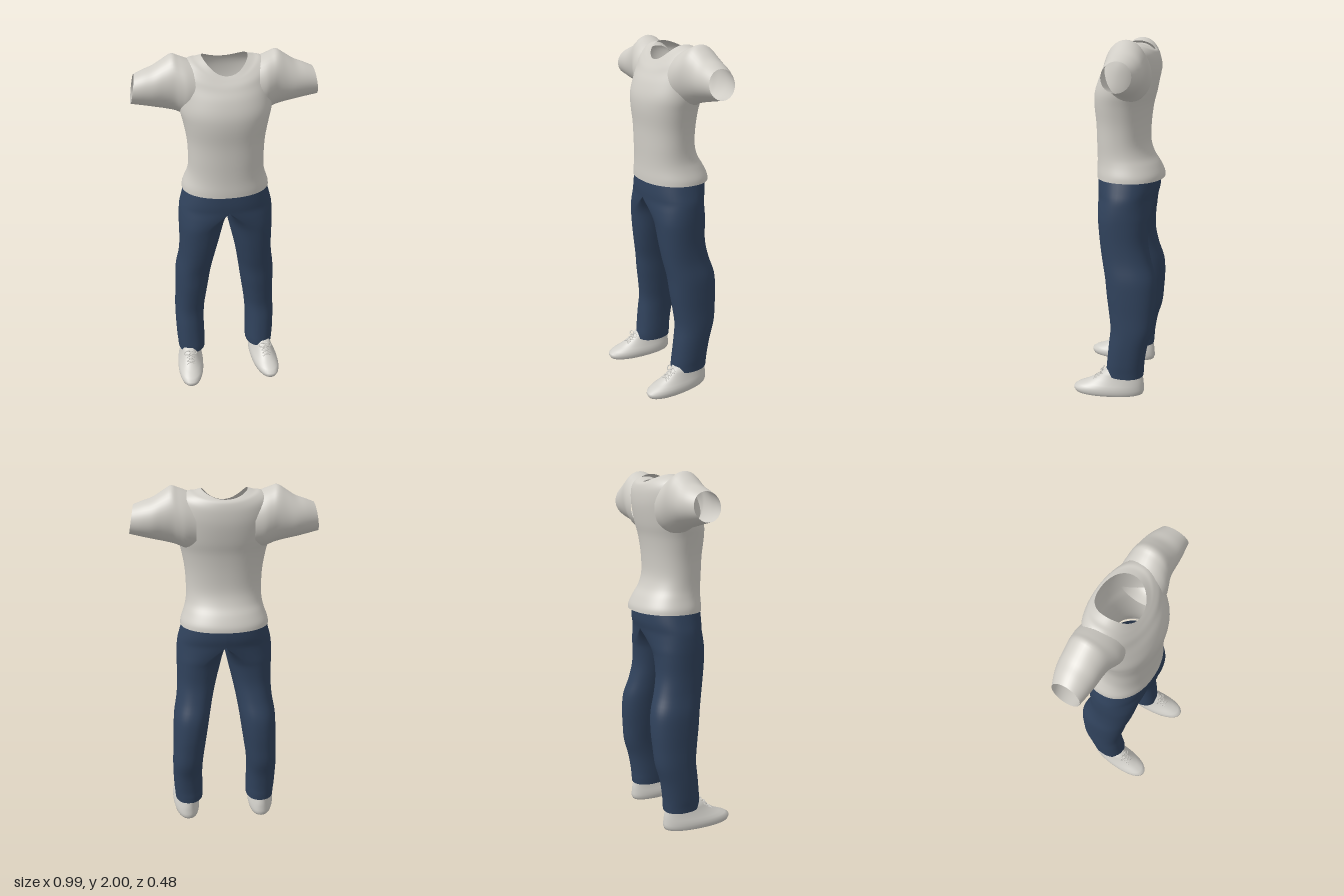
import * as THREE from 'three';

const mat = (name, color, side = THREE.DoubleSide) => {
  const m = new THREE.MeshStandardMaterial({ color, side });
  m.name = name;
  return m;
};

// Catmull-Rom interpolation of every column of a table of section measures
function refine(rows, n) {
  const out = [];
  for (let i = 0; i < rows.length - 1; i++) {
    const a = rows[Math.max(i - 1, 0)], b = rows[i], c = rows[i + 1], d = rows[Math.min(i + 2, rows.length - 1)];
    for (let k = 0; k < n; k++) {
      const t = k / n;
      out.push(b.map((_, j) => b[j] + 0.5 * t * (c[j] - a[j]
        + t * (2 * a[j] - 5 * b[j] + 4 * c[j] - d[j] + t * (3 * (b[j] - c[j]) + d[j] - a[j])))));
    }
  }
  out.push(rows[rows.length - 1]);
  return out;
}

// Skin closed sections; side = -1 mirrors across x = 0
function loft(rows, seg, point, side = 1) {
  const pos = [], index = [];
  for (const row of rows) {
    for (let j = 0; j < seg; j++) {
      const a = (j / seg) * Math.PI * 2;
      const [x, y, z] = point(row, Math.sin(a), Math.cos(a));
      pos.push(x * side, y, z);
    }
  }
  // faces lying wholly in the centre plane are left out
  const tri = (a, b, c) => {
    if ([a, b, c].every((v) => Math.abs(pos[v * 3]) < 1e-4)) return;
    index.push(...(side > 0 ? [a, b, c] : [a, c, b]));
  };
  for (let i = 0; i < rows.length - 1; i++) {
    for (let j = 0; j < seg; j++) {
      const k = (j + 1) % seg, a = i * seg + j, b = i * seg + k, c = b + seg, d = a + seg;
      tri(a, b, c);
      tri(a, c, d);
    }
  }
  const g = new THREE.BufferGeometry();
  g.setAttribute('position', new THREE.Float32BufferAttribute(pos, 3));
  g.setIndex(index);
  g.computeVertexNormals();
  return g;
}

// Rounded-square version of a sine or cosine
const soft = (v, p) => Math.sign(v) * Math.pow(Math.abs(v), p);

export function createModel() {
  const model = new THREE.Group();
  const shirt = mat('off-white cotton', 0xd0cdc6);
  const denim = mat('navy cloth', 0x30425c);
  const leather = mat('pale shoe', 0xd0cec8);
  const add = (parent, name, geometry, material) => {
    const m = new THREE.Mesh(geometry, material);
    m.name = name;
    parent.add(m);
    return m;
  };

  // Shirt body: half width, front z, back z, then height at front, side and back
  const level = (y, w, f, b) => [w, f, b, y, y, y];
  const body = [
    level(1.25, 0.245, 0.14, -0.24),
    level(1.28, 0.24, 0.14, -0.235),
    level(1.33, 0.222, 0.138, -0.21),
    level(1.38, 0.21, 0.138, -0.178),
    level(1.45, 0.207, 0.14, -0.157),
    level(1.55, 0.212, 0.143, -0.158),
    level(1.65, 0.229, 0.152, -0.17),
    level(1.72, 0.245, 0.148, -0.187),
    [0.25, 0.125, -0.2, 1.79, 1.8, 1.79],
    [0.25, 0.1, -0.205, 1.835, 1.88, 1.84],
    [0.235, 0.085, -0.203, 1.86, 1.945, 1.89],
    [0.19, 0.07, -0.195, 1.88, 1.972, 1.925],
    [0.155, 0.06, -0.185, 1.893, 1.976, 1.94],
    [0.12, 0.05, -0.175, 1.905, 1.985, 1.945],
  ];
  const top = new THREE.Group();
  top.name = 'shirt';
  model.add(top);
  add(top, 'shirtBody', loft(refine(body, 4), 64, ([w, f, b, yf, ys, yb], s, c) => [
    w * soft(s, 0.92),
    ys * s * s + (c > 0 ? yf : yb) * c * c,
    (f + b) / 2 + ((f - b) / 2) * soft(c, 0.92),
  ]), shirt);

  // Sleeve: x at top, x at bottom, top y, bottom y, front z, back z
  const sleeve = [
    [0.15, 0.15, 1.955, 1.67, 0.07, -0.18],
    [0.2, 0.2, 1.975, 1.675, 0.07, -0.185],
    [0.24, 0.235, 1.99, 1.69, 0.058, -0.181],
    [0.275, 0.27, 2.0, 1.704, 0.046, -0.176],
    [0.32, 0.32, 1.974, 1.717, 0.039, -0.172],
    [0.37, 0.38, 1.943, 1.73, 0.036, -0.168],
    [0.42, 0.44, 1.925, 1.743, 0.03, -0.153],
    [0.47, 0.497, 1.905, 1.755, 0.022, -0.13],
  ];

  // Trouser leg: y, inner x, middle x, outer x, front z, back z
  const leg = [
    [0.115, 0.135, 0.217, 0.3, 0.055, -0.16],
    [0.15, 0.134, 0.217, 0.302, 0.055, -0.163],
    [0.2, 0.134, 0.22, 0.306, 0.05, -0.166],
    [0.3, 0.135, 0.222, 0.309, 0.04, -0.182],
    [0.4, 0.129, 0.218, 0.308, 0.031, -0.21],
    [0.5, 0.115, 0.21, 0.303, 0.041, -0.22],
    [0.6, 0.1, 0.2, 0.3, 0.055, -0.226],
    [0.7, 0.085, 0.19, 0.294, 0.066, -0.22],
    [0.8, 0.067, 0.172, 0.277, 0.085, -0.19],
    [0.9, 0.045, 0.158, 0.27, 0.1, -0.17],
    [1.0, 0.021, 0.143, 0.27, 0.111, -0.172],
    [1.05, 0.01, 0.115, 0.27, 0.118, -0.18],
    [1.1, 0, 0.06, 0.268, 0.125, -0.19],
    [1.15, 0, 0, 0.263, 0.13, -0.202],
    [1.2, 0, 0, 0.25, 0.133, -0.213],
    [1.27, 0, 0, 0.23, 0.13, -0.215],
  ];

  // Shoe: y, half width, front z, back z
  const shoe = [
    [0, 0.001, 0.041, 0.039],
    [0, 0.068, 0.222, -0.15],
    [0.004, 0.075, 0.235, -0.16],
    [0.02, 0.079, 0.244, -0.166],
    [0.035, 0.079, 0.242, -0.166],
    [0.05, 0.076, 0.22, -0.164],
    [0.065, 0.07, 0.18, -0.163],
    [0.09, 0.06, 0.13, -0.16],
    [0.12, 0.053, 0.088, -0.152],
    [0.15, 0.047, 0.06, -0.145],
    [0.16, 0.002, -0.03, -0.04],
  ];

  const tube = (points, r, closed = false) => new THREE.TubeGeometry(
    new THREE.CatmullRomCurve3(points.map((p) => new THREE.Vector3(...p)), closed), 16, r, 6, closed);

  for (const side of [1, -1]) {
    const label = side > 0 ? 'left' : 'right';

    add(top, label + 'Sleeve', loft(refine(sleeve, 4), 40, ([xt, xb, yt, yb, f, b], s, c) => [
      (xt + xb) / 2 + ((xb - xt) / 2) * s,
      (yt + yb) / 2 - ((yt - yb) / 2) * s,
      (f + b) / 2 + ((f - b) / 2) * c,
    ], side), shirt);

    add(model, label + 'TrouserLeg', loft(refine(leg, 4), 48, ([y, xi, xm, xo, f, b], s, c) => {
      const mid = Math.max(xm, 0), inner = Math.max(xi, 0);
      return [
        mid + (s > 0 ? xo - mid : mid - inner) * soft(s, 0.9),
        y,
        (f + b) / 2 + ((f - b) / 2) * soft(c, 0.9),
      ];
    }, side), denim);

    // Shoes turn out a little towards the toe
    const foot = new THREE.Group();
    foot.name = label + 'Shoe';
    model.add(foot);
    const place = (x, z) => 0.233 + x + 0.07 * z;
    add(foot, label + 'ShoeUpper', loft(shoe, 48, ([y, w, f, b], s, c) => {
      const z = (f + b) / 2 + ((f - b) / 2) * soft(c, 0.9);
      return [place(w * soft(s, 0.9), z), y, z];
    }, side), leather);

    // Crossed laces down the instep
    const lace = (x, z) => [side * place(x, z), 0.183 - 0.7 * z - Math.abs(x) * 0.35, z];
    for (let i = 0; i < 4; i++) {
      const z = 0.068 + i * 0.017;
      for (const d of [1, -1]) {
        add(foot, label + 'Lace', tube([lace(-0.026 * d, z - 0.008), lace(0, z + 0.002), lace(0.026 * d, z + 0.008)], 0.003), leather);
      }
    }
    // Bow loops
    for (const d of [1, -1]) {
      const loop = [[0, 0.137, 0.076], [0.022, 0.15, 0.074], [0.04, 0.134, 0.078], [0.022, 0.128, 0.09]];
      add(foot, label + 'BowLoop', tube(loop.map(([x, y, z]) => [side * place(x * d, z), y, z]), 0.003, true), leather);
    }
  }
  return model;
}
